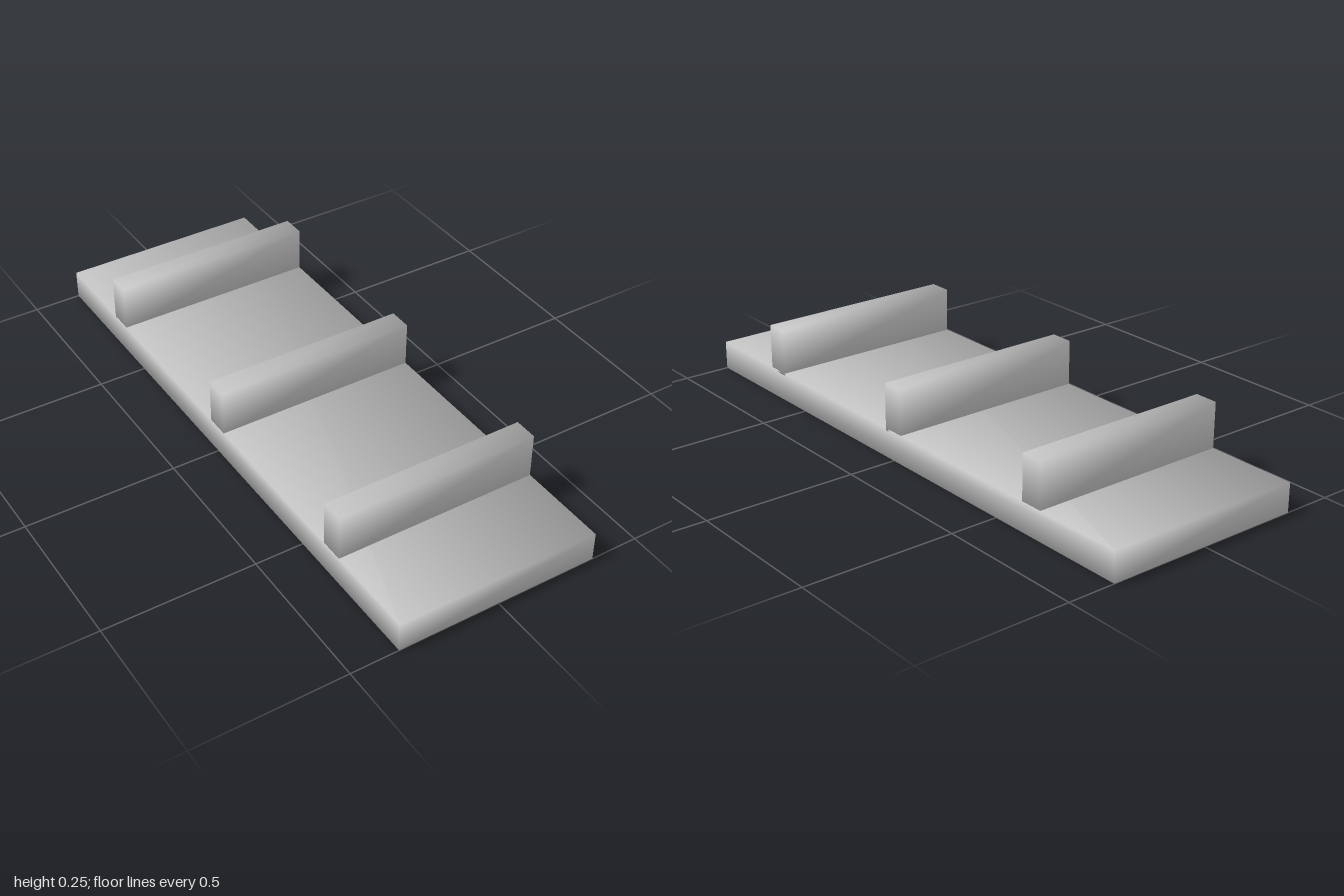
import * as THREE from 'three';

const grey = new THREE.MeshStandardMaterial({ color: 0xc6c6c6 });
grey.name = 'plainGrey';

// Box whose corner normals point outward along the diagonals (soft shading)
function softBox(name, w, h, d, y, z) {
  const geo = new THREE.BoxGeometry(w, h, d);
  const pos = geo.attributes.position;
  const k = 1 / Math.sqrt(3);
  for (let i = 0; i < pos.count; i++) {
    geo.attributes.normal.setXYZ(
      i,
      Math.sign(pos.getX(i)) * k,
      Math.sign(pos.getY(i)) * k,
      Math.sign(pos.getZ(i)) * k
    );
  }
  const mesh = new THREE.Mesh(geo, grey);
  mesh.name = name;
  mesh.position.set(0, y, z);
  return mesh;
}

export function createModel() {
  const group = new THREE.Group();
  group.name = 'slattedPlank';

  const width = 0.68, baseTop = 0.097, top = 0.247, sink = 0.008;

  // Long flat board
  group.add(softBox('baseBoard', width, baseTop, 2, baseTop / 2, 0));

  // Three cross bars, slightly sunk into the board
  const barHeight = top - baseTop + sink;
  [['frontBar', 0.655], ['middleBar', 0], ['backBar', -0.655]].forEach(([name, z]) => {
    group.add(softBox(name, width, barHeight, 0.078, top - barHeight / 2, z));
  });

  return group;
}
